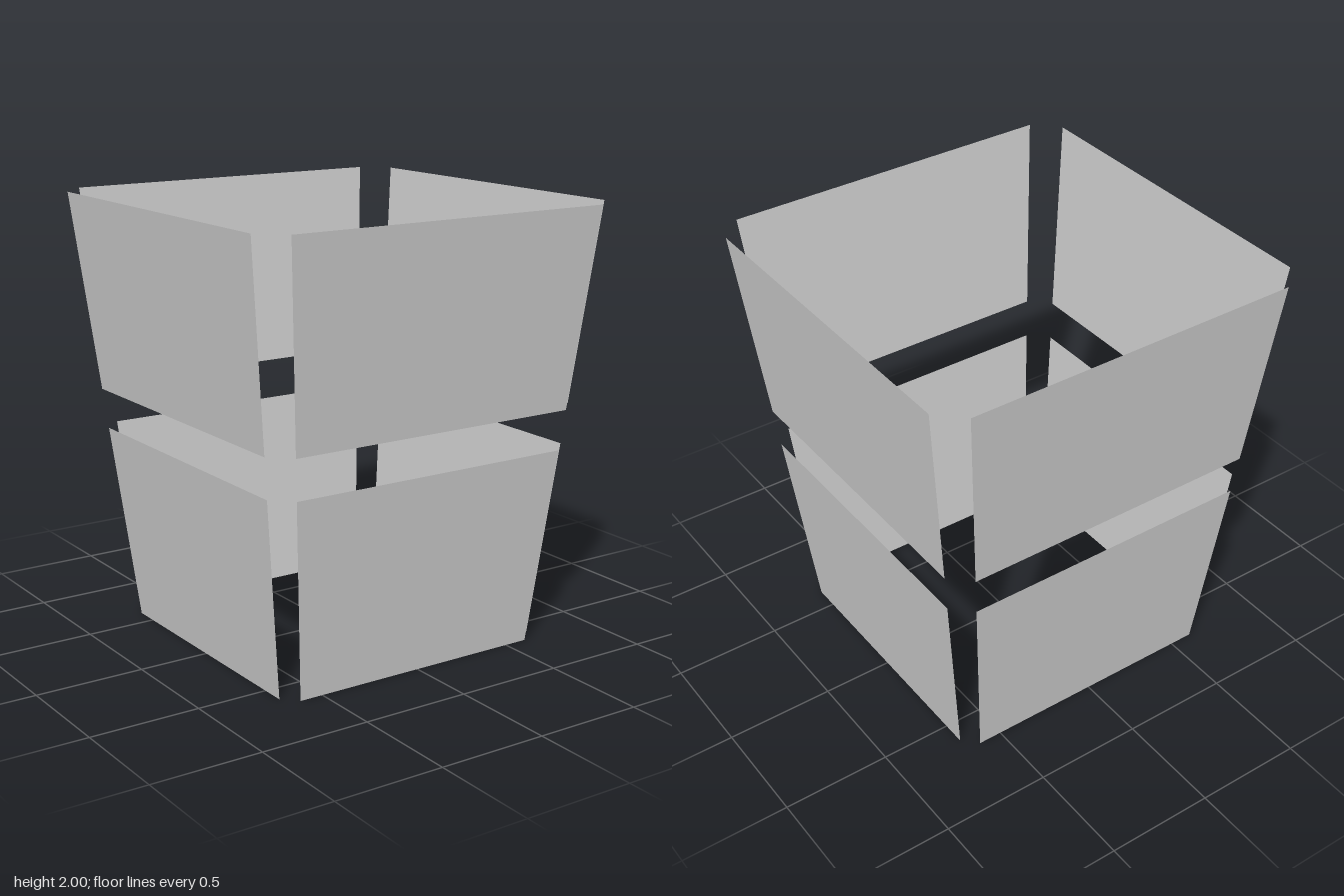
import * as THREE from 'three';

// Flat trapezoid panel facing +z: each edge is [y, half width, distance from centre]
function panelGeometry([y0, w0, d0], [y1, w1, d1]) {
  const geometry = new THREE.PlaneGeometry(1, 1);
  const p = geometry.attributes.position;
  for (let i = 0; i < p.count; i++) {
    const side = Math.sign(p.getX(i));
    if (p.getY(i) > 0) p.setXYZ(i, side * w1, y1, d1);
    else p.setXYZ(i, side * w0, y0, d0);
  }
  geometry.computeVertexNormals();
  return geometry;
}

export function createModel() {
  const model = new THREE.Group();
  model.name = 'flaredPanelBox';
  const material = new THREE.MeshStandardMaterial({
    color: 0xcccccc, flatShading: true, side: THREE.DoubleSide,
  });

  // Two tiers of outward-leaning panels, separated by a gap
  const tiers = [
    { name: 'lower', bottom: [0, 0.61, 0.674], top: [0.909, 0.689, 0.775] },
    { name: 'upper', bottom: [1.094, 0.705, 0.795], top: [2, 0.784, 0.895] },
  ];
  const sides = ['Front', 'Left', 'Back', 'Right'];

  for (const tier of tiers) {
    const ring = new THREE.Group();
    ring.name = tier.name + 'Tier';
    const geometry = panelGeometry(tier.bottom, tier.top);
    // The same panel turned to each of the four sides
    sides.forEach((side, i) => {
      const panel = new THREE.Mesh(geometry, material);
      panel.name = `${tier.name}${side}Panel`;
      panel.rotation.y = i * Math.PI / 2;
      ring.add(panel);
    });
    model.add(ring);
  }
  return model;
}
